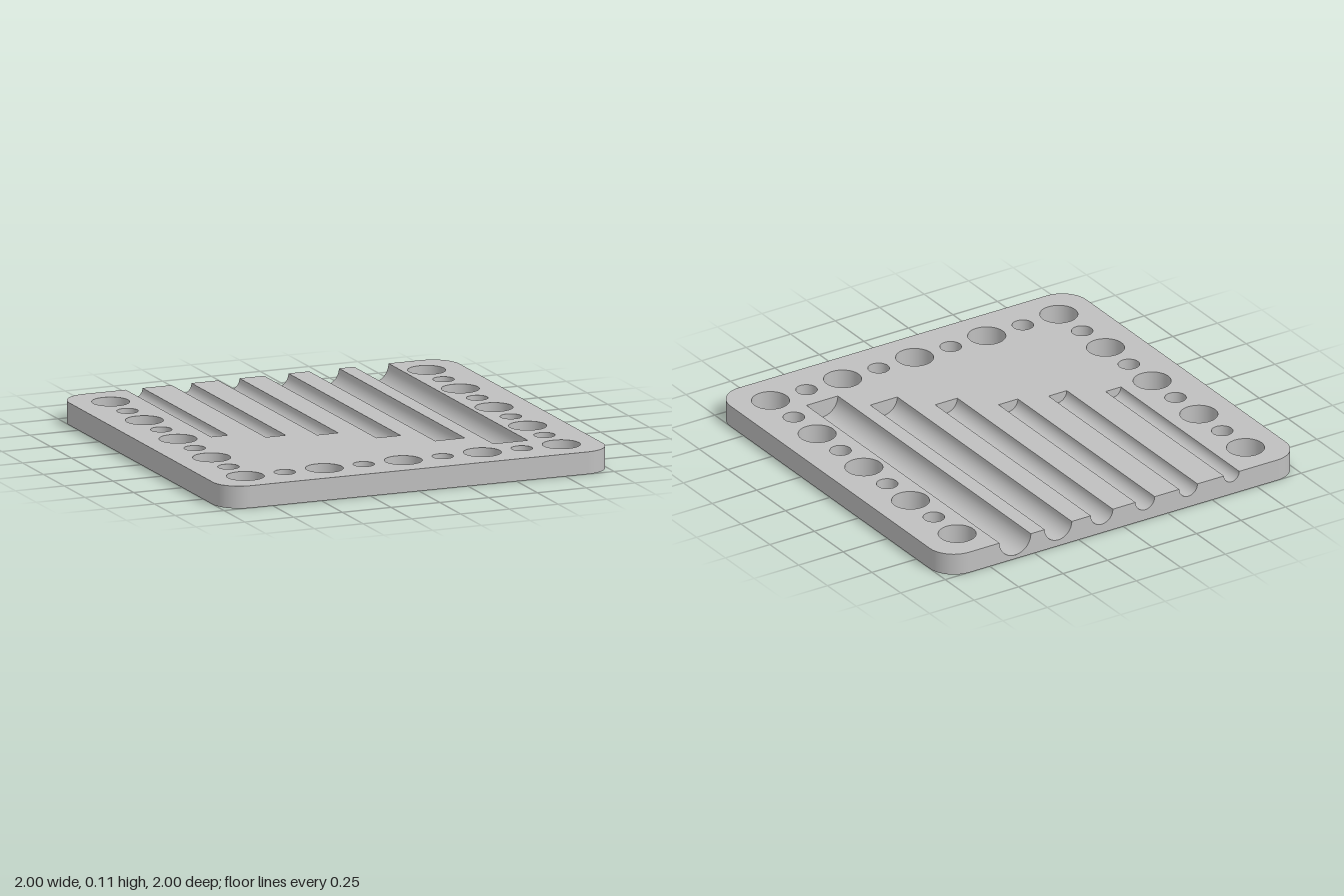
import * as THREE from 'three';

const H = 0.108, R = 0.135, L = 1 - R;
// grooves from left to right: centre x, radius, z where the groove ends
const GROOVES = [
  [-0.609, 0.043, 0.027], [-0.366, 0.051, 0.134], [-0.123, 0.054, 0.188],
  [0.12, 0.062, 0.35], [0.365, 0.076, 0.514], [0.607, 0.088, 0.675],
];
// holes alternate large and small along the left, right and front edges
const HOLES = [];
for (let i = 0; i < 9; i++) {
  const t = -0.81 + i * 0.2025, r = i % 2 ? 0.051 : 0.09;
  HOLES.push([-0.81, t, r], [0.81, t, r]);
  if (i > 0 && i < 8) HOLES.push([t, 0.81, r]);
}

// rounded square with holes, lying flat; slots open to the back edge
function faceGeometry(slotted) {
  const s = new THREE.Shape();
  s.moveTo(-L, -1);
  s.absarc(L, -L, R, -Math.PI / 2, 0, false);
  s.absarc(L, L, R, 0, Math.PI / 2, false);
  if (slotted) {
    for (const [x, r, end] of [...GROOVES].reverse()) {
      s.lineTo(x + r, 1);
      s.lineTo(x + r, -end);
      s.lineTo(x - r, -end);
      s.lineTo(x - r, 1);
    }
  }
  s.absarc(-L, L, R, Math.PI / 2, Math.PI, false);
  s.absarc(-L, -L, R, Math.PI, Math.PI * 1.5, false);
  for (const [x, z, r] of HOLES) {
    const hole = new THREE.Path();
    hole.absarc(x, -z, r, 0, Math.PI * 2, true);
    s.holes.push(hole);
  }
  return new THREE.ShapeGeometry(s, 20).rotateX(-Math.PI / 2);
}

// open tube wall: profile running up faces outward, running down faces inward
function wall(r, y0, y1, segments, start, length) {
  const profile = [new THREE.Vector2(r, y0), new THREE.Vector2(r, y1)];
  return new THREE.LatheGeometry(profile, segments, start, length);
}

export function createModel() {
  const model = new THREE.Group();
  const grey = new THREE.MeshStandardMaterial({ color: 0xbfbfbf });
  grey.name = 'grey';
  const add = (name, geometry, x = 0, y = 0, z = 0) => {
    const mesh = new THREE.Mesh(geometry, grey);
    mesh.name = name;
    mesh.position.set(x, y, z);
    model.add(mesh);
  };

  // top and bottom faces
  add('topFace', faceGeometry(true), 0, H, 0);
  add('bottomFace', faceGeometry(false).rotateZ(Math.PI));

  // straight sides
  const side = () => new THREE.PlaneGeometry(2 * L, H);
  add('frontSide', side(), 0, H / 2, 1);
  add('leftSide', side().rotateY(Math.PI / 2), 1, H / 2, 0);
  add('rightSide', side().rotateY(-Math.PI / 2), -1, H / 2, 0);

  // back side, notched where the grooves run out
  const back = new THREE.Shape();
  back.moveTo(-L, 0);
  back.lineTo(L, 0);
  back.lineTo(L, H);
  for (const [x, r] of GROOVES) back.absarc(-x, H, r, 0, Math.PI, true);
  back.lineTo(-L, H);
  add('backSide', new THREE.ShapeGeometry(back, 24).rotateY(Math.PI), 0, 0, -1);

  // rounded corners
  [[1, 1], [1, -1], [-1, -1], [-1, 1]].forEach(([sx, sz], i) =>
    add('corner', wall(R, 0, H, 12, i * Math.PI / 2, Math.PI / 2), sx * L, 0, sz * L));

  // hole walls
  for (const [x, z, r] of HOLES) add('holeWall', wall(r, H, 0, 40, 0, Math.PI * 2), x, 0, z);

  // half-round grooves with flat ends
  for (const [x, r, end] of GROOVES) {
    const trough = wall(r, end, -1, 24, -Math.PI / 2, Math.PI).rotateX(Math.PI / 2);
    add('groove', trough, x, H, 0);
    const cap = new THREE.CircleGeometry(r, 24, Math.PI, Math.PI).rotateY(Math.PI);
    add('grooveEnd', cap, x, H, end);
  }
  return model;
}
